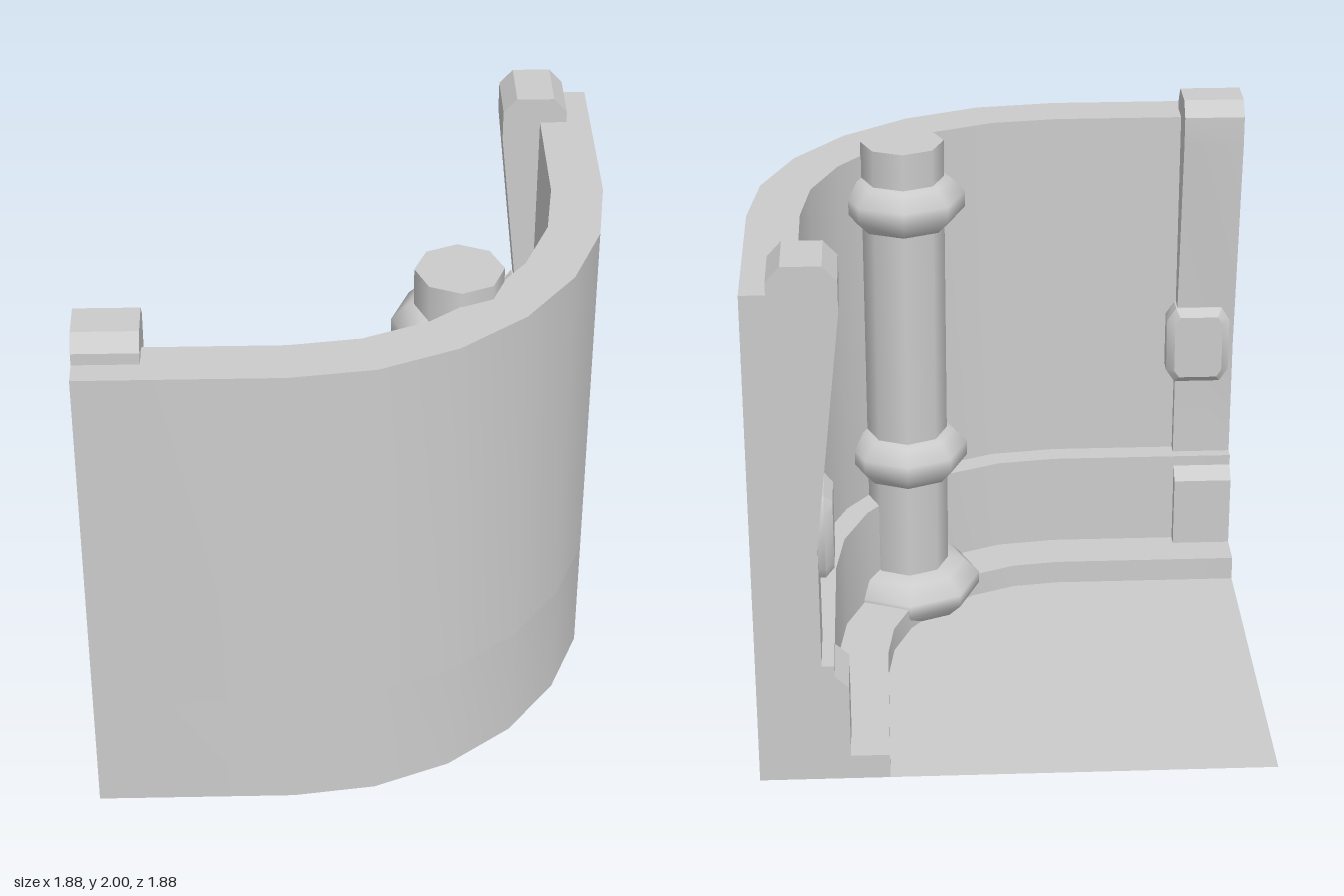
import * as THREE from 'three';
import { toCreasedNormals } from 'three/addons/utils/BufferGeometryUtils.js';

const END = -0.94, CENTRE = -0.22;

// L-shaped run with a rounded corner: straight, 15 degree arc steps, straight
function run(radius) {
  const pts = [[END, CENTRE + radius]];
  for (let i = 0; i <= 6; i++) {
    const a = (i / 6) * Math.PI / 2;
    pts.push([CENTRE + radius * Math.sin(a), CENTRE + radius * Math.cos(a)]);
  }
  pts.push([CENTRE + radius, END]);
  return pts.map(([x, z]) => new THREE.Vector2(x, z));
}

// Reflects a non-indexed geometry across x = z, reversing the corner order
function mirrorAcrossCorner(geometry) {
  const p = geometry.attributes.position, out = [];
  for (let i = p.count - 1; i >= 0; i--) out.push(p.getZ(i), p.getY(i), p.getX(i));
  const g = new THREE.BufferGeometry();
  g.setAttribute('position', new THREE.Float32BufferAttribute(out, 3));
  return toCreasedNormals(g, 0.6);
}

export function createModel() {
  const model = new THREE.Group();
  const grey = new THREE.MeshStandardMaterial({ color: 0xcccccc });
  const greyDouble = new THREE.MeshStandardMaterial({ color: 0xcccccc, side: THREE.DoubleSide });

  function add(name, geometry, material = grey) {
    const mesh = new THREE.Mesh(geometry, material);
    mesh.name = name;
    model.add(mesh);
    return mesh;
  }

  // Curved wall bands, stepped inward towards the floor
  function band(name, inner, outer, y0, y1) {
    const shape = new THREE.Shape([...run(outer), ...run(inner).reverse()]);
    const g = new THREE.ExtrudeGeometry(shape, { depth: y1 - y0, bevelEnabled: false });
    g.rotateX(Math.PI / 2).translate(0, y1, 0);
    add(name, toCreasedNormals(g, 0.5));
  }
  band('upperWall', 0.97, 1.16, 0.47, 1.9);
  band('plinth', 0.88, 1.16, 0, 0.47);
  band('floorKerb', 0.69, 0.88, 0, 0.095);

  // Thin floor sheet inside the kerb
  const floor = new THREE.ShapeGeometry(new THREE.Shape([...run(0.69), new THREE.Vector2(END, END)]));
  add('floor', floor.rotateX(Math.PI / 2), greyDouble);

  // End ribs: hooked over the wall top, tapering down, flared at the foot
  const profile = [
    [0.85, 1.88], [0.85, 1.945], [0.8, 2], [0.66, 2], [0.61, 1.945], [0.61, 1.83],
    [0.705, 0.95], [0.705, 0.47], [0.61, 0.38], [0.61, 0.095], [0.76, 0.095], [0.76, 1.88],
  ].map(([x, y]) => new THREE.Vector2(x, y));
  let rib = new THREE.ExtrudeGeometry(new THREE.Shape(profile), { depth: 0.23, bevelEnabled: false });
  rib = toCreasedNormals(rib.translate(0, 0, END), 0.6);
  add('rightEndRib', rib);
  add('frontEndRib', mirrorAcrossCorner(rib));

  // Small bevelled tabs on the ribs
  const tabShape = new THREE.Shape([
    [-0.87, 0.83], [-0.72, 0.83], [-0.7, 0.86], [-0.7, 1.06],
    [-0.72, 1.09], [-0.87, 1.09], [-0.89, 1.06], [-0.89, 0.86],
  ].map(([z, y]) => new THREE.Vector2(z, y)));
  let tab = new THREE.ExtrudeGeometry(tabShape, {
    depth: 0.07, bevelThickness: 0.03, bevelSize: 0.03, bevelSegments: 1,
  });
  tab = toCreasedNormals(tab.rotateY(-Math.PI / 2).translate(0.75, 0, 0), 0.6);
  add('rightTab', tab);
  add('frontTab', mirrorAcrossCorner(tab));

  // Eight-sided corner post
  const post = add('cornerPost', new THREE.CylinderGeometry(0.157, 0.157, 1.955, 8));
  post.position.set(0.38, 1.955 / 2, 0.38);

  // Rounded collars around the post
  function collar(name, y, points) {
    const g = new THREE.LatheGeometry(points.map(([r, h]) => new THREE.Vector2(r, h)), 8);
    add(name, g, greyDouble).position.set(0.38, y, 0.38);
  }
  const ring = [[0.15, -0.095], [0.185, -0.085], [0.235, -0.03], [0.235, 0.03], [0.185, 0.085], [0.15, 0.095]];
  collar('upperCollar', 1.72, ring);
  collar('middleCollar', 0.67, ring);
  collar('baseCollar', 0, [[0.22, 0], [0.28, 0.06], [0.28, 0.11], [0.22, 0.17], [0.15, 0.185]]);

  return model;
}
